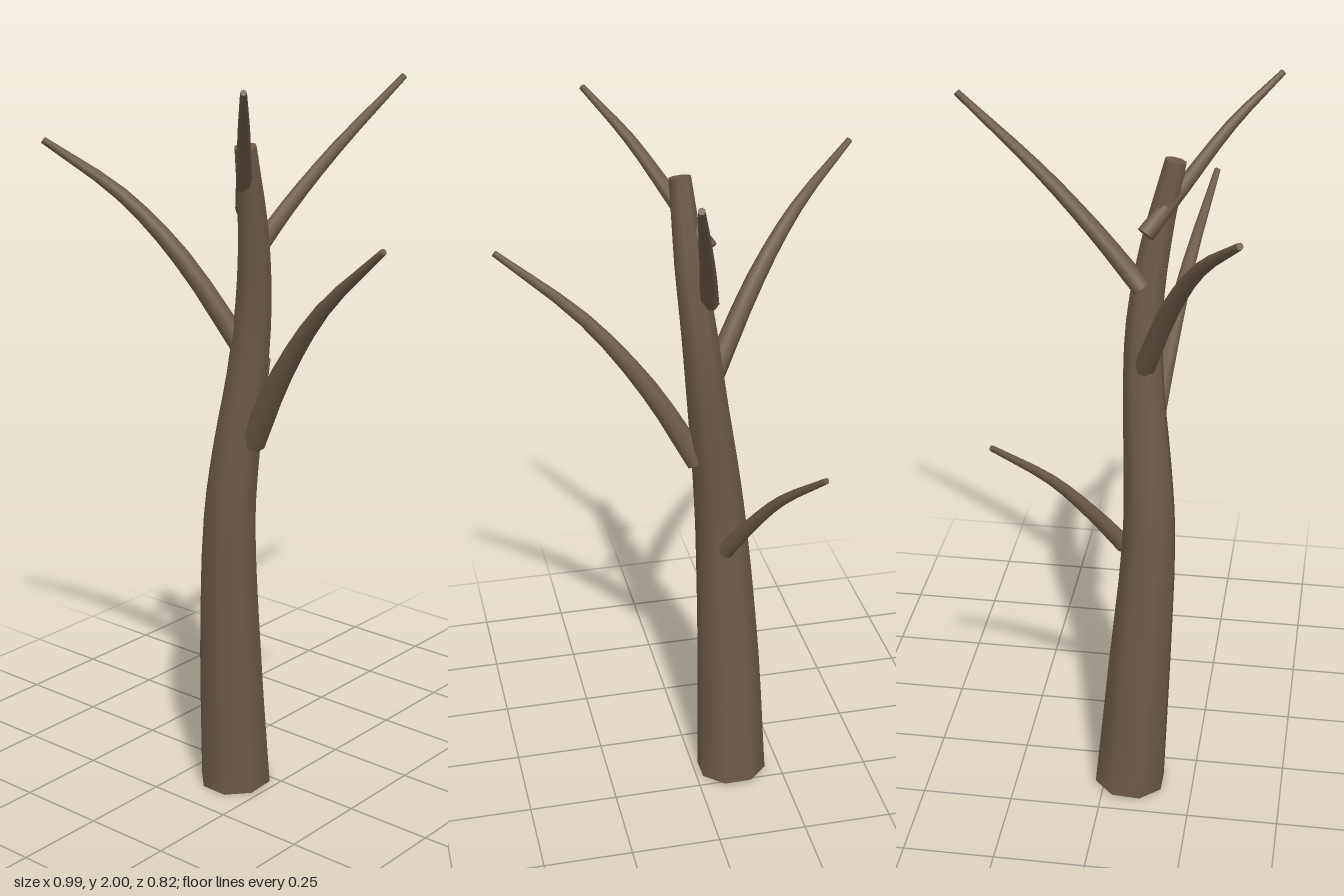
import * as THREE from 'three';

const SIDES = 8;
const bark = new THREE.MeshStandardMaterial({ color: 0x6b5a48 });

// Tapered limb: octagonal rings along a smooth curve, smooth sides, flat caps.
// Each point is [x, y, z, radius].
function limb(name, points, rings) {
  const curve = new THREE.CatmullRomCurve3(points.map(p => new THREE.Vector3(p[0], p[1], p[2])));
  const pos = [], index = [];
  const n = new THREE.Vector3(), b = new THREE.Vector3();
  const last = points.length - 1;

  const radiusAt = t => {
    const i = Math.min(Math.floor(t * last), last - 1);
    return THREE.MathUtils.lerp(points[i][3], points[i + 1][3], t * last - i);
  };

  for (let i = 0; i <= rings; i++) {
    const t = i / rings;
    const c = curve.getPoint(t), tan = curve.getTangent(t);
    n.set(1, 0, 0).addScaledVector(tan, -tan.x).normalize();
    b.crossVectors(tan, n);
    for (let j = 0; j < SIDES; j++) {
      const a = (j + 0.5) / SIDES * Math.PI * 2, r = radiusAt(t);
      const v = c.clone().addScaledVector(n, Math.cos(a) * r).addScaledVector(b, Math.sin(a) * r);
      pos.push(v.x, v.y, v.z);
    }
  }
  for (let i = 0; i < rings; i++) {
    for (let j = 0; j < SIDES; j++) {
      const k = (j + 1) % SIDES;
      const p = i * SIDES + j, q = i * SIDES + k;
      index.push(p, q, q + SIDES, p, q + SIDES, p + SIDES);
    }
  }
  // Caps use their own vertices so that their rims stay sharp
  for (const [ring, flip] of [[0, true], [rings, false]]) {
    const start = pos.length / 3;
    pos.push(...pos.slice(ring * SIDES * 3, (ring + 1) * SIDES * 3));
    for (let j = 1; j < SIDES - 1; j++) {
      if (flip) index.push(start, start + j + 1, start + j);
      else index.push(start, start + j, start + j + 1);
    }
  }
  const geo = new THREE.BufferGeometry();
  geo.setAttribute('position', new THREE.Float32BufferAttribute(pos, 3));
  geo.setIndex(index);
  geo.computeVertexNormals();
  const mesh = new THREE.Mesh(geo, bark);
  mesh.name = name;
  return mesh;
}

export function createModel() {
  const tree = new THREE.Group();
  tree.name = 'bareTree';

  // Gently swaying trunk
  tree.add(limb('trunk', [
    [-0.11, 0.006, 0.07, 0.101],
    [-0.104, 0.4, 0.094, 0.089],
    [-0.086, 0.8, 0.114, 0.073],
    [-0.067, 1.0, 0.106, 0.065],
    [-0.042, 1.2, 0.091, 0.056],
    [-0.02, 1.4, 0.088, 0.049],
    [0.001, 1.6, 0.112, 0.041],
    [0.016, 1.82, 0.158, 0.029],
  ], 21));

  // Branches rise steeply, then lean outwards
  const branches = {
    rightBranch: [
      [-0.055, 1.28, 0.092, 0.03], [-0.19, 1.515, 0.175, 0.025],
      [-0.32, 1.675, 0.255, 0.018], [-0.492, 1.81, 0.36, 0.009]],
    leftBranch: [
      [-0.015, 1.03, 0.1, 0.034], [0.11, 1.245, 0.132, 0.028],
      [0.27, 1.445, 0.17, 0.019], [0.49, 1.63, 0.22, 0.009]],
    lowerBackBranch: [
      [-0.085, 0.765, 0.05, 0.024], [-0.135, 0.89, -0.035, 0.019],
      [-0.19, 1.01, -0.13, 0.014], [-0.27, 1.135, -0.268, 0.008]],
    upperBackBranch: [
      [-0.045, 1.5, 0.085, 0.026], [-0.012, 1.635, -0.04, 0.022],
      [0.03, 1.775, -0.19, 0.017], [0.088, 1.945, -0.405, 0.009]],
    topFrontBranch: [
      [-0.045, 1.645, 0.092, 0.024], [0.03, 1.755, 0.18, 0.02],
      [0.12, 1.885, 0.285, 0.015], [0.22, 1.993, 0.402, 0.008]],
  };
  for (const [name, points] of Object.entries(branches)) tree.add(limb(name, points, 9));

  return tree;
}
